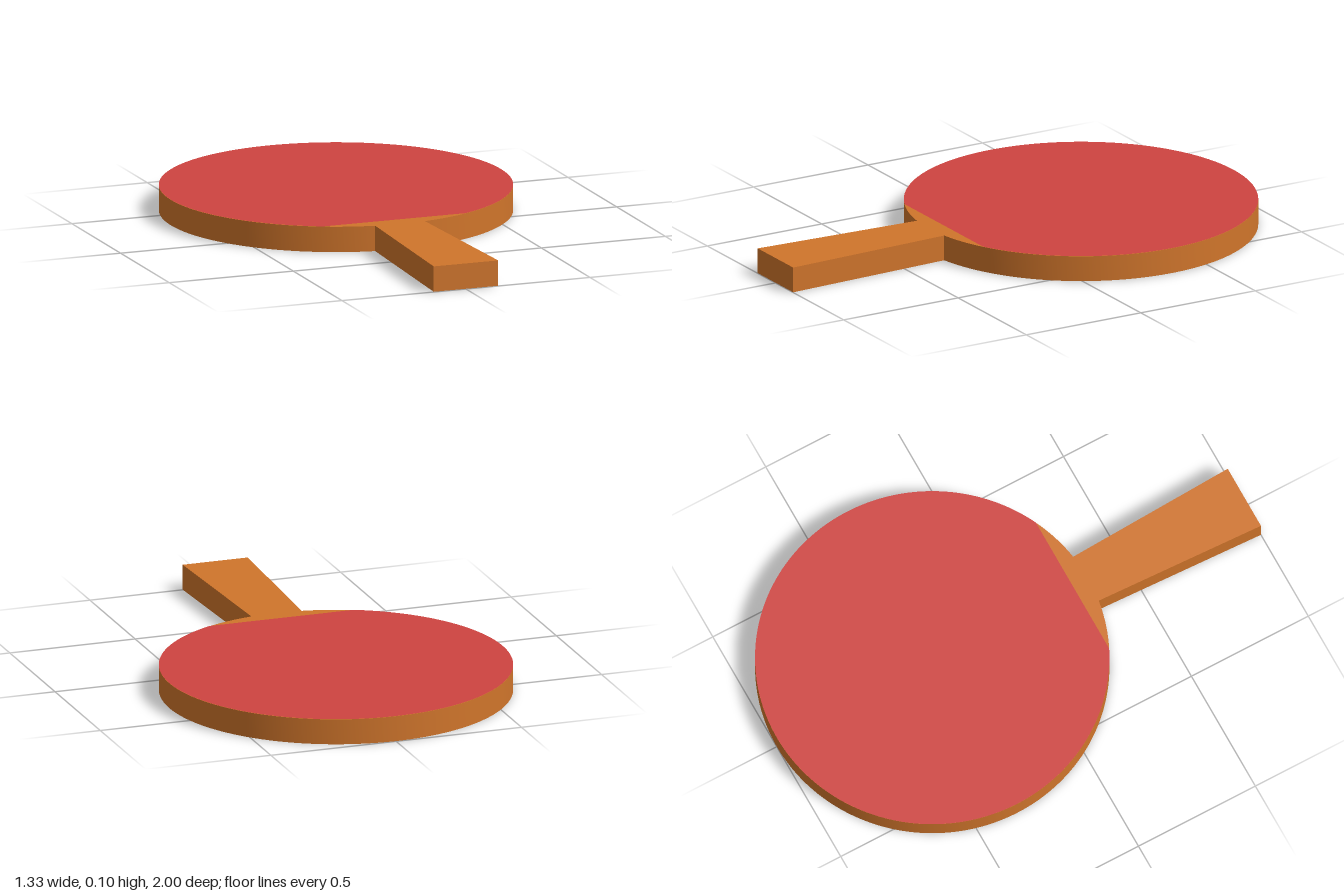
import * as THREE from 'three';
import { toCreasedNormals } from 'three/addons/utils/BufferGeometryUtils.js';

const R = 0.665;          // blade radius
const CZ = -0.335;        // blade centre along z
const THICK = 0.1;
const SHEET = 0.001;      // rubber thickness
const NECK = 0.1;         // half width of the handle at the blade
const BUTT = 0.13;        // half width of the handle at its end
const CUT = 0.265;        // z where the rubber ends

// arc of the blade's rim, left open towards the handle between x = -halfGap and +halfGap
function rim(halfGap) {
  const gap = Math.asin(halfGap / R);
  return new THREE.Shape().absarc(0, CZ, R, Math.PI / 2 + gap, Math.PI * 2.5 - gap, false);
}

function addPart(group, name, geometry, color) {
  const mesh = new THREE.Mesh(geometry, new THREE.MeshStandardMaterial({ color }));
  mesh.name = name;
  group.add(mesh);
  return mesh;
}

export function createModel() {
  const group = new THREE.Group();
  group.name = 'tableTennisBat';

  // wooden blade and flared handle in one outline
  const outline = rim(NECK);
  outline.lineTo(BUTT, 1);
  outline.lineTo(-BUTT, 1);
  outline.closePath();
  const wood = new THREE.ExtrudeGeometry(outline, {
    depth: THICK - 2 * SHEET, bevelEnabled: false, curveSegments: 96,
  });
  wood.rotateX(Math.PI / 2).translate(0, THICK - SHEET, 0);
  addPart(group, 'bladeAndHandle', toCreasedNormals(wood, Math.PI / 6), 0xd0752b);

  // rubber sheets, cut straight above the handle
  const chord = Math.sqrt(R * R - (CUT - CZ) ** 2);
  const sheet = new THREE.ShapeGeometry(rim(chord), 96).rotateX(Math.PI / 2);
  addPart(group, 'bottomRubber', sheet, 0x050505);
  const top = sheet.clone().rotateZ(Math.PI).translate(0, THICK, 0);
  addPart(group, 'topRubber', top, 0xcf4440);

  return group;
}
